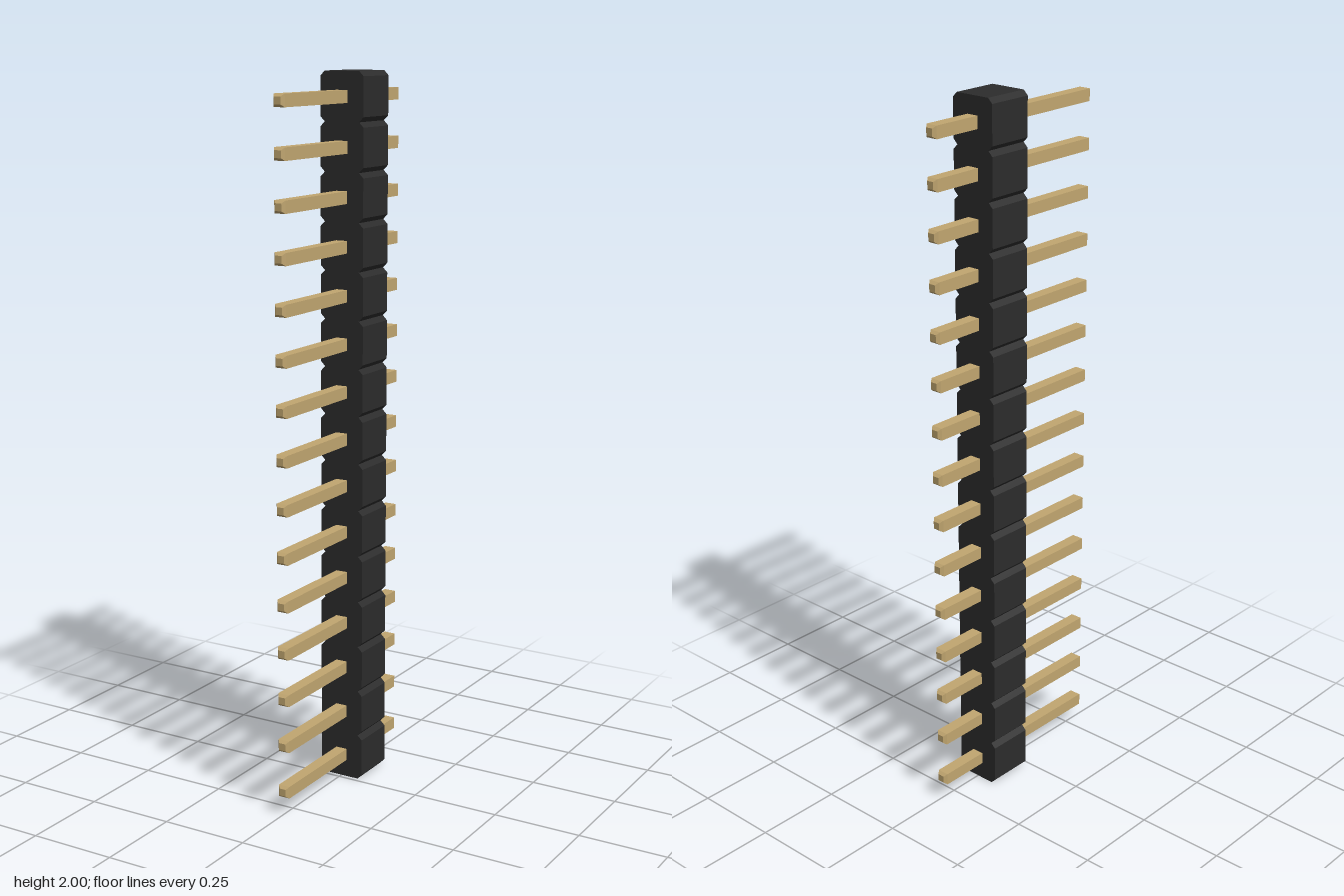
import * as THREE from 'three';

const COUNT = 15;
const PITCH = 2 / COUNT;

export function createModel() {
  const model = new THREE.Group();
  model.name = 'pinHeader';

  const plastic = new THREE.MeshStandardMaterial({ color: 0x2c2c2c });
  plastic.name = 'black plastic';
  const brass = new THREE.MeshStandardMaterial({ color: 0xc1a670 });
  brass.name = 'gold plating';

  // Housing: a strip of chamfered blocks, one notched outline extruded along z
  const half = PITCH / 2;
  const chamfer = 0.0135;
  const right = [];
  for (let i = 0; i < COUNT; i++) {
    const y = i * PITCH;
    right.push(
      [half - chamfer, y],
      [half, y + chamfer],
      [half, y + PITCH - chamfer],
    );
  }
  right.push([half - chamfer, 2]);
  const left = right.map(([x, y]) => [-x, y]).reverse();
  const outline = new THREE.Shape([...right, ...left].map(([x, y]) => new THREE.Vector2(x, y)));
  const housingGeometry = new THREE.ExtrudeGeometry(outline, { depth: PITCH, bevelEnabled: false });
  const housing = new THREE.Mesh(housingGeometry, plastic);
  housing.name = 'housing';
  housing.position.z = -0.147;
  model.add(housing);

  // Pins: square bars with tapered tips at both ends
  const r = 0.017;
  const taper = 0.009;
  const length = 0.605;
  const square = new THREE.Shape([
    new THREE.Vector2(-r, -r),
    new THREE.Vector2(r, -r),
    new THREE.Vector2(r, r),
    new THREE.Vector2(-r, r),
  ]);
  const pinGeometry = new THREE.ExtrudeGeometry(square, {
    depth: length - 2 * taper,
    bevelThickness: taper,
    bevelSize: 0.007,
    bevelOffset: -0.007,
    bevelSegments: 1,
  });
  pinGeometry.translate(0, 0, taper - length / 2);

  const pins = new THREE.Group();
  pins.name = 'pins';
  for (let i = 0; i < COUNT; i++) {
    const pin = new THREE.Mesh(pinGeometry, brass);
    pin.name = `pin${i + 1}`;
    pin.position.y = (i + 0.5) * PITCH;
    pins.add(pin);
  }
  model.add(pins);

  return model;
}
